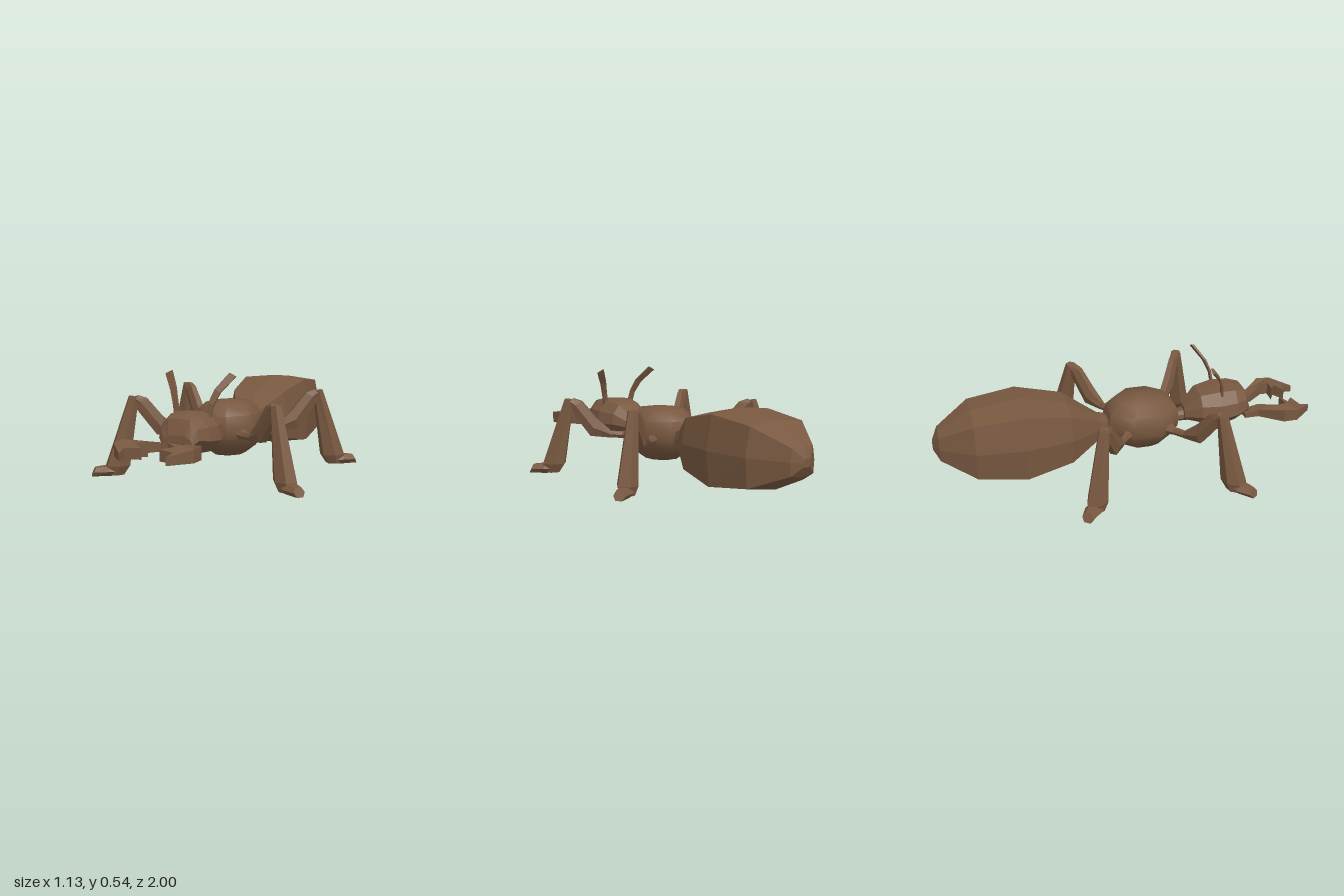
import * as THREE from 'three';
import { toCreasedNormals } from 'three/addons/utils/BufferGeometryUtils.js';

const V = (x, y, z) => new THREE.Vector3(x, y, z);

// Skin a list of equal-length rings, cap both ends, and orient faces outward
function loft(rings) {
  const n = rings[0].length, tris = [];
  for (let i = 0; i < rings.length - 1; i++) {
    for (let j = 0; j < n; j++) {
      const k = (j + 1) % n, a = rings[i], b = rings[i + 1];
      tris.push([a[j], a[k], b[k]], [a[j], b[k], b[j]]);
    }
  }
  const last = rings[rings.length - 1];
  for (let j = 1; j < n - 1; j++) {
    tris.push([rings[0][0], rings[0][j + 1], rings[0][j]], [last[0], last[j], last[j + 1]]);
  }
  const volume = tris.reduce((s, [a, b, c]) => s + a.dot(b.clone().cross(c)), 0);
  const pts = tris.flatMap(([a, b, c]) => (volume < 0 ? [a, c, b] : [a, b, c]));
  const g = new THREE.BufferGeometry().setFromPoints(pts);
  g.computeVertexNormals();
  return g;
}

// Body ring at z from half width, low and high y, and a unit half profile
const bodyRing = (profile) => ([z, w, lo, hi]) => {
  const at = (s) => ([x, y]) => V(s * x * w, (lo + hi) / 2 + y * (hi - lo) / 2, z);
  return [...profile.map(at(1)), ...profile.slice(1, -1).reverse().map(at(-1))];
};

const BOXY = [[0, 1], [0.86, 0.9], [1, 0.03], [0.94, -0.85], [0, -1]];
const ROUND = [[0, 1], [0.55, 0.95], [0.9, 0.4], [1, -0.25], [0.6, -0.8], [0, -1]];

export function createModel() {
  const model = new THREE.Group();
  const brown = new THREE.MeshStandardMaterial({ color: 0x785840 });
  brown.name = 'brown';

  const add = (name, geometry, parent = model) => {
    const m = new THREE.Mesh(geometry, brown);
    m.name = name;
    parent.add(m);
    return m;
  };

  // Abdomen, tapering to the waist
  add('abdomen', loft([
    [-1.0, 0.02, 0.2, 0.24], [-0.97, 0.075, 0.15, 0.295], [-0.8, 0.187, 0.065, 0.39],
    [-0.55, 0.208, 0.03, 0.422], [-0.31, 0.17, 0.08, 0.37], [-0.14, 0.065, 0.16, 0.265],
    [-0.06, 0.045, 0.18, 0.25],
  ].map(bodyRing(BOXY))));

  // Thorax: eight-sided rounded drum
  const drum = [[0, 0.082], [0.09, 0.086], [0.145, 0.125], [0.185, 0.185], [0.19, 0.24],
    [0.175, 0.3], [0.125, 0.35], [0, 0.367]].map(([r, y]) => new THREE.Vector2(r / 0.924, y));
  const thorax = new THREE.LatheGeometry(drum, 8, Math.PI / 8);
  thorax.scale(0.87, 1, 1);
  thorax.translate(0, 0, 0.09);
  add('thorax', toCreasedNormals(thorax, 0.8));

  // Neck and head
  add('neck', loft([[0.22, 0.05, 0.16, 0.25], [0.29, 0.036, 0.18, 0.24], [0.36, 0.05, 0.18, 0.26]]
    .map(bodyRing(ROUND))));
  add('head', loft([
    [0.32, 0.055, 0.19, 0.27], [0.4, 0.115, 0.17, 0.345], [0.5, 0.145, 0.15, 0.362],
    [0.59, 0.135, 0.165, 0.36], [0.65, 0.105, 0.19, 0.345], [0.675, 0.08, 0.2, 0.27],
  ].map(bodyRing(ROUND))));

  for (const side of [1, -1]) {
    const prefix = side > 0 ? 'left' : 'right';

    // Toothed jaw: a flat plate, thickest at the middle
    const outline = [[0.05, 0.64], [0.055, 0.73], [0.125, 0.82], [0.125, 0.86], [0.05, 0.855],
      [0.1, 0.885], [0.045, 0.925], [0.12, 0.945], [0.115, 1.0], [0.2, 0.9], [0.2, 0.825],
      [0.11, 0.715], [0.11, 0.64]].map(([x, z]) => new THREE.Vector2(side * x, z));
    const jaw = new THREE.ExtrudeGeometry(new THREE.Shape(outline), { depth: 0.07, bevelEnabled: false });
    jaw.rotateX(Math.PI / 2);
    const p = jaw.attributes.position;
    for (let i = 0; i < p.count; i++) {
      const top = p.getY(i) > -0.01;
      p.setY(i, top ? 0.27 - 0.22 * Math.abs(p.getZ(i) - 0.85) : 0.2);
    }
    jaw.computeVertexNormals();
    add(prefix + 'Jaw', jaw);

    // Bent antenna: centre x, y, z and half width
    add(prefix + 'Antenna', loft([
      [0.08, 0.33, 0.51, 0.013], [0.095, 0.4, 0.5, 0.013], [0.118, 0.46, 0.475, 0.015],
      [0.17, 0.532, 0.42, 0.017],
    ].map(([x, y, z, w]) => [[-1, -0.5, -0.3], [1, 0.5, -0.3], [1, 0.5, 0.5], [-1, -0.5, 0.5]]
      .map(([a, b, c]) => V(side * (x + a * w), y - b * w, z + c * w)))));

    // Two legs per side; rings run between two edges (reach, y) with a half width
    for (const end of [1, -1]) {
      const leg = new THREE.Group();
      leg.name = prefix + (end > 0 ? 'FrontLeg' : 'BackLeg');
      model.add(leg);
      const place = (r, y, s) => V(side * (0.14 + 0.8 * r - 0.6 * s), y, 0.1 + end * (0.12 + 0.6 * r + 0.8 * s));
      const ring = ([ra, ya, rb, yb, w]) => [
        place(ra, ya, -0.55 * w), place((ra + rb) / 2, (ya + yb) / 2, -w), place(rb, yb, -0.55 * w),
        place(rb, yb, 0.55 * w), place((ra + rb) / 2, (ya + yb) / 2, w), place(ra, ya, 0.55 * w),
      ];
      add('hip', loft([[-0.04, 0.18, -0.04, 0.24, 0.04], [0.02, 0.188, 0.02, 0.222, 0.02],
        [0.1, 0.19, 0.1, 0.225, 0.015]].map(ring)), leg);
      add('thigh', loft([[0.085, 0.19, 0.085, 0.23, 0.022], [0.19, 0.2, 0.155, 0.29, 0.032],
        [0.3, 0.345, 0.235, 0.385, 0.025], [0.32, 0.375, 0.28, 0.4, 0.025]].map(ring)), leg);
      add('shin', loft([[0.28, 0.392, 0.325, 0.398, 0.028], [0.33, 0.05, 0.445, 0.05, 0.055],
        [0.36, 0.003, 0.44, 0.003, 0.04]].map(ring)), leg);
      add('foot', loft([[0.37, 0, 0.37, 0.045, 0.035], [0.44, 0, 0.44, 0.048, 0.046],
        [0.52, 0, 0.5, 0.043, 0.03]].map(ring)), leg);
    }
  }
  return model;
}
